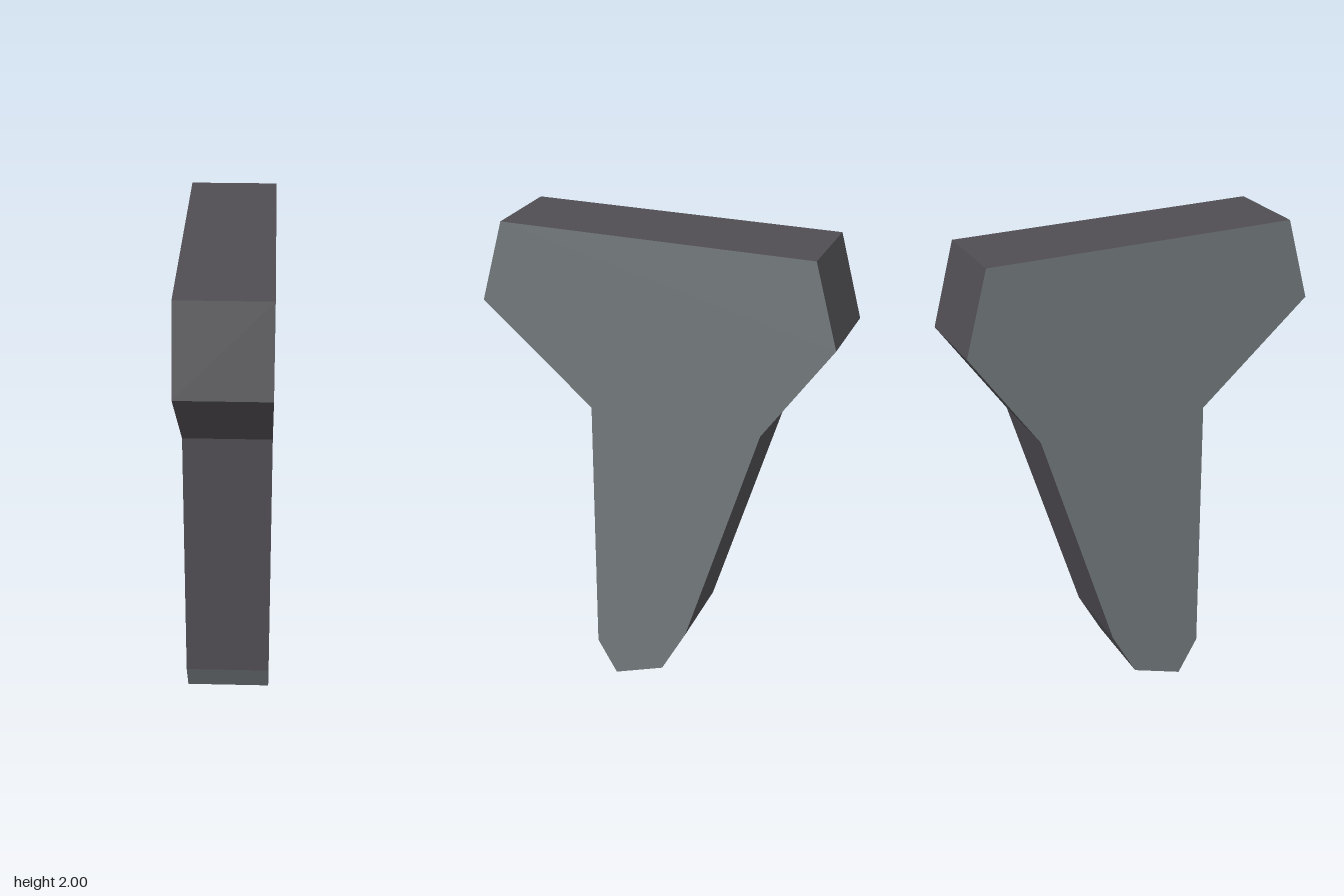
import * as THREE from 'three';

export function createModel() {
  const sideGrey = new THREE.MeshStandardMaterial({ name: 'slateGrey', color: 0x72787b });
  const rimGrey = new THREE.MeshStandardMaterial({ name: 'darkGrey', color: 0x4f4d52 });

  // Side outline as (z, y), counter-clockwise; the closing edge is the toe chamfer.
  const outline = [
    [0.265, 0.15], [0.265, 1.275], [0.72, 1.67], [0.625, 2], [-0.625, 2],
    [-0.715, 1.67], [-0.44, 1.275], [-0.14, 0.28], [-0.035, 0.08], [0.18, 0],
  ].map(([z, y]) => new THREE.Vector2(z, y));

  const width = 0.35;
  const geometry = new THREE.ExtrudeGeometry(new THREE.Shape(outline), {
    depth: width, steps: 1, bevelEnabled: false,
  });
  geometry.translate(0, 0, -width / 2);
  geometry.rotateY(-Math.PI / 2);

  // The last wall (the toe chamfer) takes the colour of the flat sides.
  const walls = geometry.groups[1];
  walls.count -= 6;
  geometry.addGroup(walls.start + walls.count, 6, 0);

  const bracket = new THREE.Mesh(geometry, [sideGrey, rimGrey]);
  bracket.name = 'taperedBracket';

  const model = new THREE.Group();
  model.name = 'bracketModel';
  model.add(bracket);
  return model;
}
